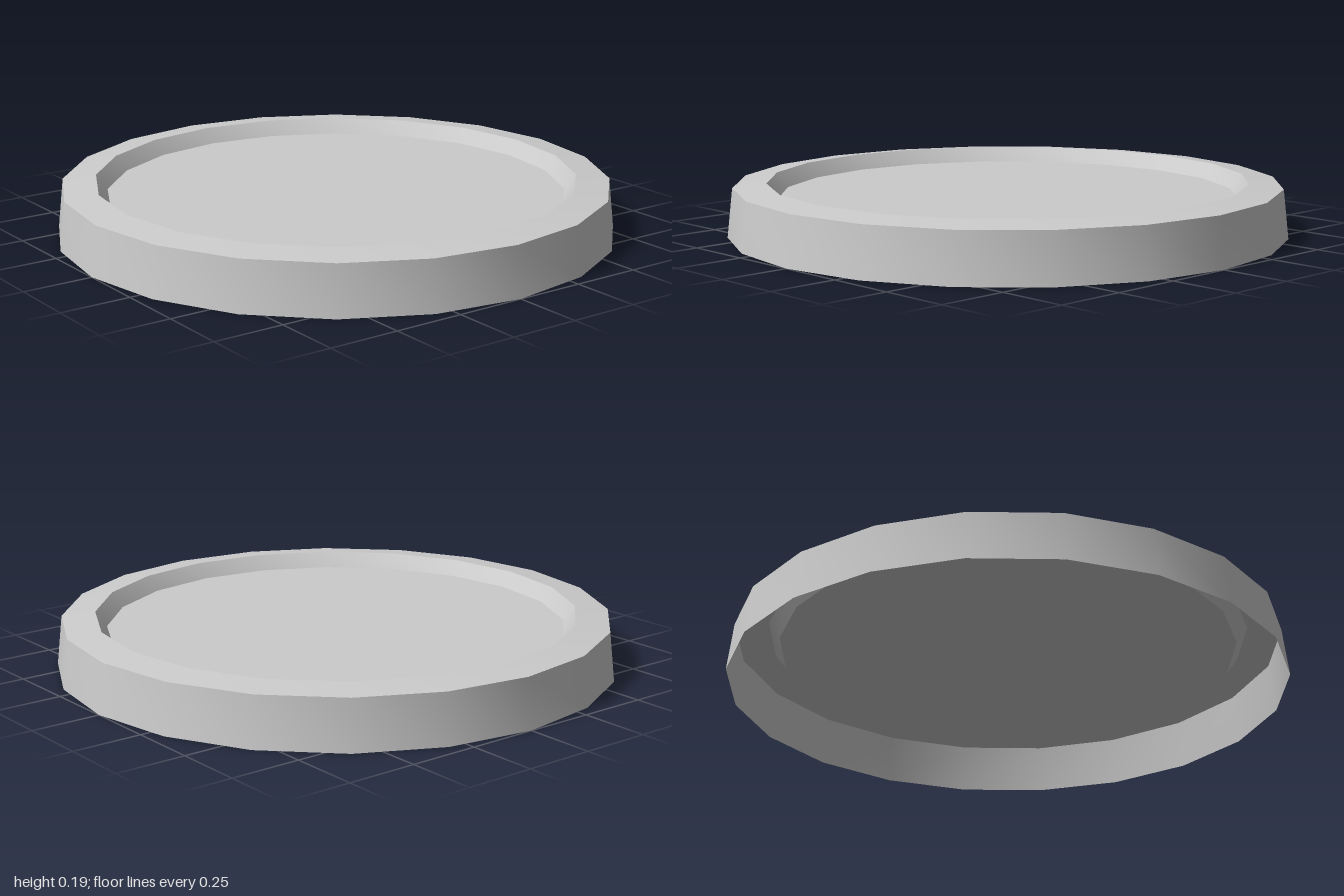
import * as THREE from 'three';
import { toCreasedNormals } from 'three/addons/utils/BufferGeometryUtils.js';

const SIDES = 20;

export function createModel() {
  const group = new THREE.Group();
  group.name = 'roundTray';
  const material = new THREE.MeshStandardMaterial({ color: 0xcccccc, side: THREE.DoubleSide });

  // Hollow shell, open below: tapered outer wall, gently rising rim, sloped inner lip
  const profile = [[1, 0], [0.98, 0.176], [0.86, 0.19], [0.82, 0.136]]
    .map(([r, y]) => new THREE.Vector2(r, y));
  const shell = new THREE.Mesh(
    toCreasedNormals(new THREE.LatheGeometry(profile, SIDES), Math.PI / 6), material);
  shell.name = 'wallAndRim';
  group.add(shell);

  // Recessed flat floor
  const floor = new THREE.Mesh(
    new THREE.CircleGeometry(0.82, SIDES).rotateX(-Math.PI / 2).translate(0, 0.136, 0), material);
  floor.name = 'recessedFloor';
  group.add(floor);

  return group;
}
